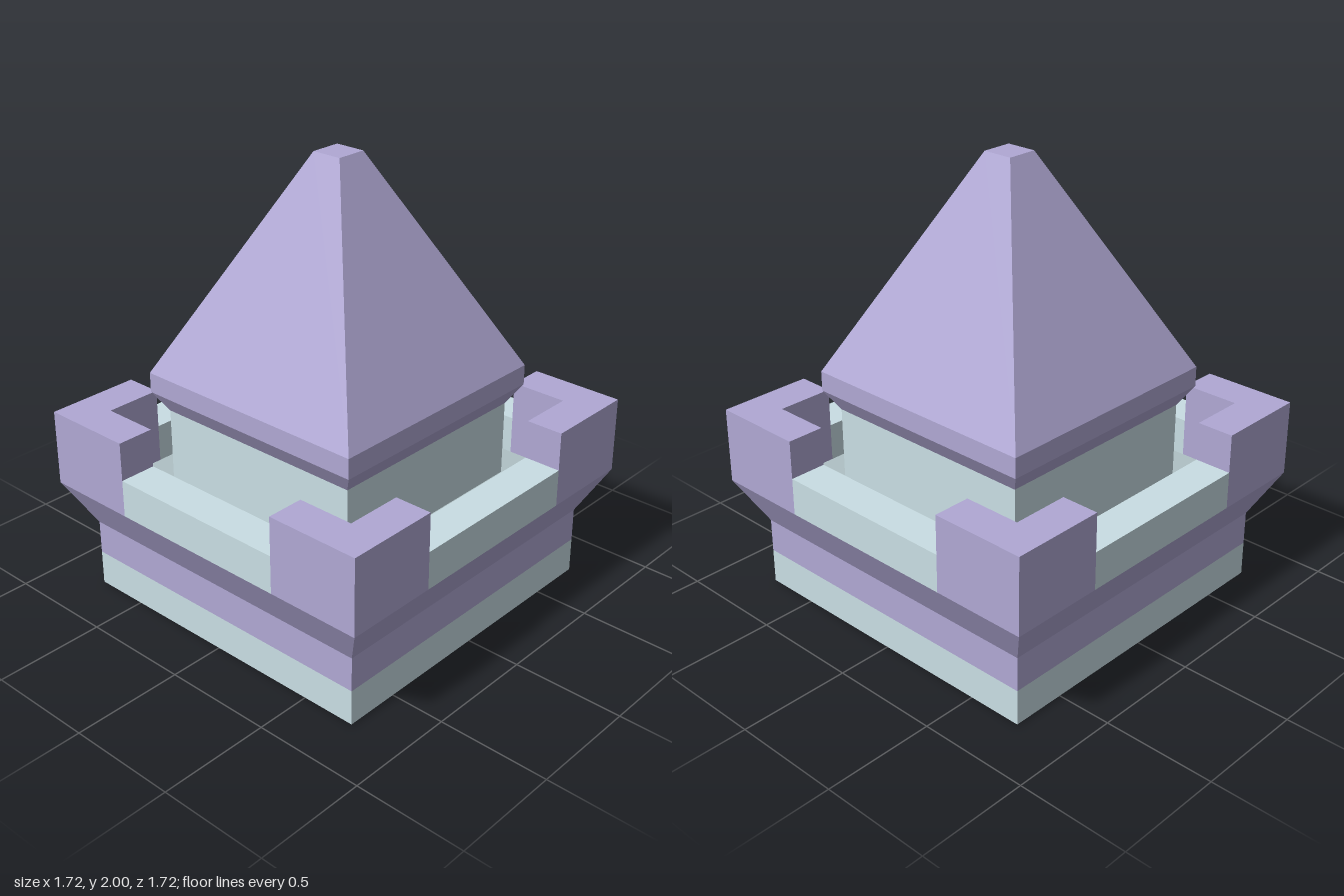
import * as THREE from 'three';

const purple = new THREE.MeshStandardMaterial({ color: 0xb0a8d4, flatShading: true });
const teal = new THREE.MeshStandardMaterial({ color: 0xc9dee4, flatShading: true });
const floorTeal = new THREE.MeshStandardMaterial({ color: 0xafc1c5, flatShading: true });

// Square-plan solid from [half width, height] pairs, listed bottom to top
function squareLathe(profile) {
  const points = profile.map(([half, y]) => new THREE.Vector2(half * Math.SQRT2, y));
  const geometry = new THREE.LatheGeometry(points, 4, Math.PI / 4).toNonIndexed();
  geometry.computeVertexNormals();
  return geometry;
}

export function createModel() {
  const model = new THREE.Group();
  model.name = 'towerTop';
  const add = (name, geometry, material, parent = model) => {
    const mesh = new THREE.Mesh(geometry, material);
    mesh.name = name;
    parent.add(mesh);
    return mesh;
  };

  const outer = 0.86, inner = 0.69, notch = 0.43; // parapet half widths
  const deck = 0.52, lowTop = 0.69, highTop = 0.865; // parapet heights

  // Base and flared cornice
  add('base', squareLathe([[0, 0], [0.75, 0], [0.75, 0.16]]), teal);
  add('cornice', squareLathe([[0.75, 0.16], [0.75, 0.315], [outer, deck]]), purple);

  // Walkway and turret
  add('walkway', squareLathe([[outer, deck], [0.51, deck]]), floorTeal);
  add('turretWall', squareLathe([[0.51, deck], [0.51, highTop]]), teal);

  // Pyramid roof with undercut eaves and a flat tip
  add('roof', squareLathe([[0.51, 0.86], [0.565, 0.95], [0.565, 1.04], [0.07, 2], [0, 2]]), purple);

  // L-shaped corner block, extruded upward
  const cornerShape = new THREE.Shape([
    [notch, inner], [inner, inner], [inner, notch],
    [outer, notch], [outer, outer], [notch, outer],
  ].map(([x, y]) => new THREE.Vector2(x, y)));
  const cornerGeometry = new THREE.ExtrudeGeometry(cornerShape, { depth: highTop - deck, bevelEnabled: false });
  cornerGeometry.rotateX(-Math.PI / 2).translate(0, deck, 0);

  // Low wall spanning between two corners
  const wallGeometry = new THREE.BoxGeometry(notch * 2, lowTop - deck, outer - inner);
  wallGeometry.translate(0, (lowTop + deck) / 2, (outer + inner) / 2);

  // Parapet repeated on all four sides
  const parapet = new THREE.Group();
  parapet.name = 'parapet';
  model.add(parapet);
  for (let i = 0; i < 4; i++) {
    add(`cornerBlock${i + 1}`, cornerGeometry, purple, parapet).rotation.y = i * Math.PI / 2;
    add(`lowWall${i + 1}`, wallGeometry, teal, parapet).rotation.y = i * Math.PI / 2;
  }
  return model;
}
